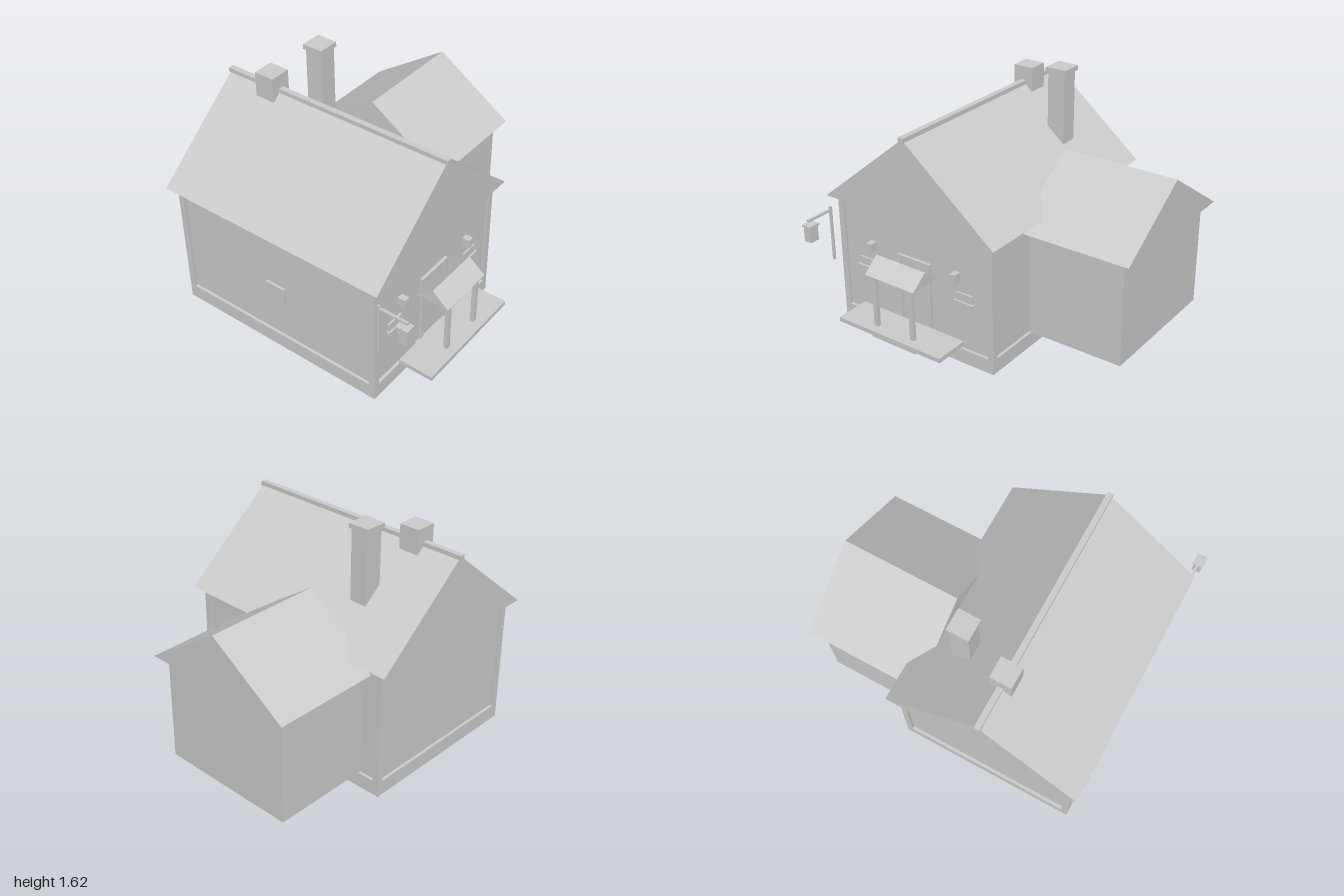
import * as THREE from 'three';

export function createModel() {
  const house = new THREE.Group();
  house.name = 'house';
  const stone = new THREE.MeshStandardMaterial({ color: 0xcccccc });
  stone.name = 'pale grey';

  const add = (name, geometry) => {
    const mesh = new THREE.Mesh(geometry, stone);
    mesh.name = name;
    house.add(mesh);
    return mesh;
  };

  // Box given by its extents on each axis
  const box = (name, x0, x1, y0, y1, z0, z1) => {
    const mesh = add(name, new THREE.BoxGeometry(x1 - x0, y1 - y0, z1 - z0));
    mesh.position.set((x0 + x1) / 2, (y0 + y1) / 2, (z0 + z1) / 2);
    return mesh;
  };

  // Solid gable roof; the ridge runs along z, or along x when alongX is set
  const gable = (name, x0, x1, y0, y1, z0, z1, alongX = false) => {
    const span = alongX ? z1 - z0 : x1 - x0;
    const length = alongX ? x1 - x0 : z1 - z0;
    const shape = new THREE.Shape([
      new THREE.Vector2(-span / 2, 0),
      new THREE.Vector2(span / 2, 0),
      new THREE.Vector2(0, y1 - y0),
    ]);
    const geometry = new THREE.ExtrudeGeometry(shape, { depth: length, bevelEnabled: false });
    geometry.translate(0, 0, -length / 2);
    if (alongX) geometry.rotateY(Math.PI / 2);
    const mesh = add(name, geometry);
    mesh.position.set((x0 + x1) / 2, y0, (z0 + z1) / 2);
    return mesh;
  };

  // Main house: plinth, recessed walls, corner posts and top beams
  const [X0, X1, Z0, Z1] = [-0.87, 0.657, -0.285, 0.94];
  const post = 0.042;
  box('foundation', X0, X1, 0, 0.1, Z0, Z1);
  box('walls', X0 + 0.02, X1 - 0.02, 0.1, 0.9, Z0 + 0.02, Z1 - 0.02);
  for (const x of [X0, X1 - post]) {
    for (const z of [Z0, Z1 - post]) box('cornerPost', x, x + post, 0.1, 0.9, z, z + post);
  }
  for (const z of [Z0, Z1 - post]) box('topBeam', X0 + post, X1 - post, 0.86, 0.9, z, z + post);
  gable('mainRoof', -0.925, 0.71, 0.895, 1.437, -0.333, 0.987, true);
  box('ridgeBeam', -0.935, 0.72, 1.418, 1.45, 0.308, 0.346);

  // Chimneys
  box('shortChimney', -0.66, -0.52, 1.3, 1.543, 0.257, 0.4);
  box('tallChimney', -0.54, -0.42, 1.0, 1.59, -0.065, 0.06);
  box('chimneyCap', -0.555, -0.41, 1.59, 1.622, -0.077, 0.07);

  // Rear wing
  box('wingWalls', -0.71, 0.25, 0.1, 0.826, -0.94, -0.25);
  gable('wingRoof', -0.77, 0.31, 0.825, 1.183, -1, -0.205);

  // Porch on the gable side
  box('porchDeck', 0.687, 0.925, 0.157, 0.187, -0.083, 0.735);
  box('porchStep', 0.637, 0.873, 0.1, 0.12, 0.152, 0.508);
  for (const z of [0.168, 0.46]) box('porchPost', 0.84, 0.867, 0.12, 0.535, z, z + 0.03);
  gable('porchRoof', 0.655, 0.885, 0.548, 0.638, 0.137, 0.527);

  // Door frame with a flush leaf
  for (const z of [0.2, 0.437]) box('doorJamb', 0.63, 0.657, 0.1, 0.615, z, z + 0.025);
  box('doorLintel', 0.63, 0.657, 0.59, 0.615, 0.225, 0.437);
  box('door', 0.634, 0.643, 0.1, 0.59, 0.225, 0.437);

  // Windows with a cross rail, and a wall lamp above each
  for (const z of [0.725, -0.062]) {
    box('sideWindow', 0.63, 0.65, 0.38, 0.495, z - 0.062, z + 0.062);
    box('windowRail', 0.63, 0.662, 0.43, 0.442, z - 0.074, z + 0.074);
  }
  for (const z of [0.667, -0.007]) box('wallLamp', 0.635, 0.69, 0.573, 0.633, z - 0.021, z + 0.021);
  box('frontWindow', -0.18, -0.035, 0.378, 0.495, 0.91, 0.937);

  // Hanging lantern on a bracket
  box('lanternPost', 0.7, 0.715, 0.44, 0.82, 0.957, 0.973);
  box('lanternArm', 0.715, 0.91, 0.79, 0.806, 0.957, 0.973);
  box('lantern', 0.854, 0.922, 0.655, 0.756, 0.938, 0.993);
  box('lanternCap', 0.846, 0.928, 0.756, 0.77, 0.931, 1);

  return house;
}
